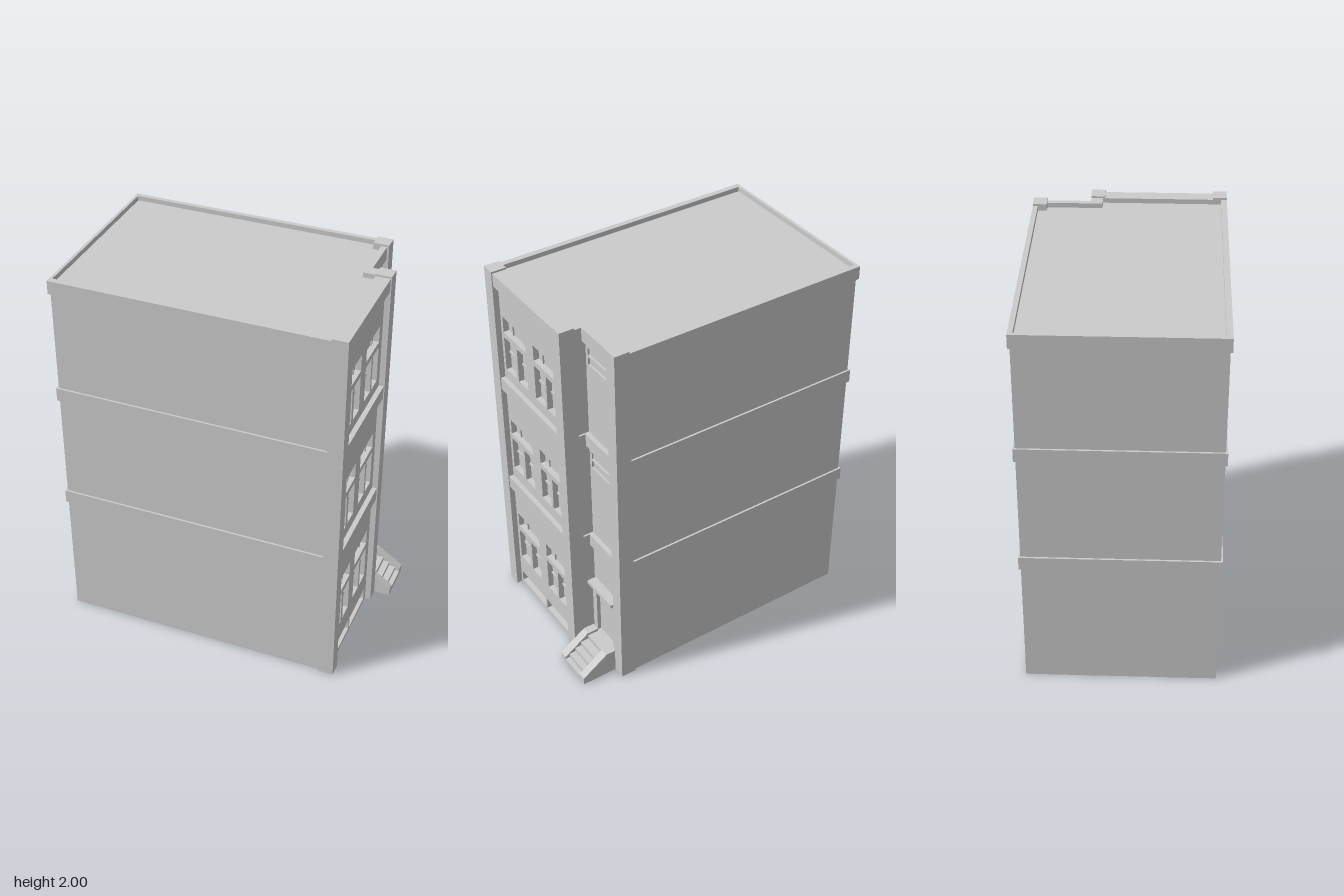
import * as THREE from 'three';

const mat = new THREE.MeshStandardMaterial({ color: 0xcccccc, flatShading: true });
const shellMat = new THREE.MeshStandardMaterial({ color: 0xcccccc, flatShading: true, side: THREE.DoubleSide });

export function createModel() {
  const model = new THREE.Group();
  const add = (name, geo, m = mat) => {
    const mesh = new THREE.Mesh(geo, m);
    mesh.name = name;
    model.add(mesh);
    return mesh;
  };
  // Box given by its extents
  const box = (name, x0, x1, y0, y1, z0, z1) => {
    const b = add(name, new THREE.BoxGeometry(x1 - x0, y1 - y0, z1 - z0));
    b.position.set((x0 + x1) / 2, (y0 + y1) / 2, (z0 + z1) / 2);
    return b;
  };
  const rect = (Type, z0, z1, y0, y1) => new Type([
    new THREE.Vector2(-z1, y0), new THREE.Vector2(-z0, y0),
    new THREE.Vector2(-z0, y1), new THREE.Vector2(-z1, y1)]);
  // Wall panel facing +x, pierced by openings [z0, z1, y0, y1]
  const panel = (name, x0, x1, outline, holes) => {
    const s = rect(THREE.Shape, ...outline);
    s.holes = holes.map(h => rect(THREE.Path, ...h));
    const p = add(name, new THREE.ExtrudeGeometry(s, { depth: x1 - x0, bevelEnabled: false }));
    p.rotation.y = Math.PI / 2;
    p.position.x = x0;
  };

  // Hollow wall shell, open underneath, with a notch for the entrance
  const plan = [[-0.775, 0.48], [0.635, 0.48], [0.635, -0.14], [0.555, -0.14], [0.555, -0.48], [-0.775, -0.48]];
  const roofY = 1.965;
  const pos = [];
  plan.forEach(([ax, az], i) => {
    const [bx, bz] = plan[(i + 1) % plan.length];
    pos.push(ax, 0, az, bx, 0, bz, bx, roofY, bz, ax, 0, az, bx, roofY, bz, ax, roofY, az);
  });
  const walls = new THREE.BufferGeometry();
  walls.setAttribute('position', new THREE.Float32BufferAttribute(pos, 3));
  walls.computeVertexNormals();
  add('walls', walls, shellMat);
  const roof = new THREE.ShapeGeometry(new THREE.Shape(plan.map(([x, z]) => new THREE.Vector2(x, -z))));
  roof.rotateX(-Math.PI / 2);
  roof.translate(0, roofY, 0);
  add('roof', roof, shellMat);

  // Corner and entrance columns
  box('frontColumn', 0.615, 0.695, 0, 2, 0.42, 0.49);
  box('middleColumn', 0.615, 0.695, 0, 2, -0.2, -0.13);
  box('backColumn', 0.51, 0.59, 0, 2, -0.49, -0.42);

  // Floor bands and parapet
  const bands = [[0.69, 0.76], [1.32, 1.39], [1.92, 1.99]];
  for (const [y0, y1] of bands) {
    box('frontBand', -0.785, 0.615, y0, y1, 0.46, 0.49);
    box('backBand', -0.785, 0.51, y0, y1, -0.49, -0.465);
    box('leftBand', -0.785, -0.77, y0, y1, -0.465, 0.46);
    box('facadeBand', 0.615, 0.69, y0, y1, -0.13, 0.42);
    box('entranceBand', 0.55, 0.58, y0, y1, -0.42, -0.14);
    box('returnBand', 0.58, 0.615, y0, y1, -0.2, -0.14);
  }
  box('returnWall', 0.555, 0.62, 0, 1.95, -0.19, -0.14);

  // Facade panels with windows, storey by storey
  const storeys = [[0, 0.69, 0.2], [0.76, 1.32, 0.825], [1.39, 1.92, 1.445]];
  const cols = [[0.3, 0.4], [0.185, 0.275], [0.02, 0.11], [-0.085, 0]];
  storeys.forEach(([y0, y1, sill], i) => {
    const transom = sill + 0.22;
    const holes = cols.map(([a, b]) => [a, b, sill, sill + 0.19]);
    holes.push([0.185, 0.4, transom, transom + 0.087], [-0.085, 0.11, transom, transom + 0.087]);
    if (i === 0) holes.push([0.155, 0.405, 0.02, 0.085], [-0.1, 0.14, 0.02, 0.085]);
    panel('facadePanel', 0.635, 0.665, [-0.13, 0.42, y0, y1], holes);
    // Window bars
    for (const [a, b] of cols) {
      const m = (a + b) / 2;
      box('windowBar', 0.63, 0.643, sill + 0.09, sill + 0.1, a, b);
      box('transomBar', 0.63, 0.643, transom, transom + 0.087, m - 0.005, m + 0.005);
    }
    // Entrance bay: shallow window grille above, or door below
    if (i > 0) {
      panel('entranceWindowFrame', 0.55, 0.565, [-0.4, -0.215, y1 - 0.13, y1 - 0.02],
        [[-0.39, -0.225, y1 - 0.07, y1 - 0.03], [-0.39, -0.225, y1 - 0.12, y1 - 0.08]]);
    }
  });

  // Door surround and canopy
  panel('doorSurround', 0.55, 0.575, [-0.42, -0.2, 0.12, 0.46], [[-0.385, -0.235, 0.121, 0.42]]);
  box('doorCanopy', 0.555, 0.605, 0.44, 0.46, -0.42, -0.2);

  // Entrance steps
  const treads = [[0.64, 0.12], [0.685, 0.097], [0.72, 0.073], [0.755, 0.05], [0.78, 0.027]];
  treads.forEach(([x, h], i) => box('step', i ? treads[i - 1][0] : 0.555, x, 0, h, -0.385, -0.24));

  // Sloping stair cheeks
  const cheek = new THREE.Shape([[0.58, 0], [0.78, 0], [0.78, 0.04], [0.64, 0.135], [0.58, 0.135]]
    .map(([x, y]) => new THREE.Vector2(x, y)));
  for (const z of [-0.425, -0.243]) {
    const c = add('stairCheek', new THREE.ExtrudeGeometry(cheek, { depth: 0.043, bevelEnabled: false }));
    c.position.z = z;
  }
  return model;
}
